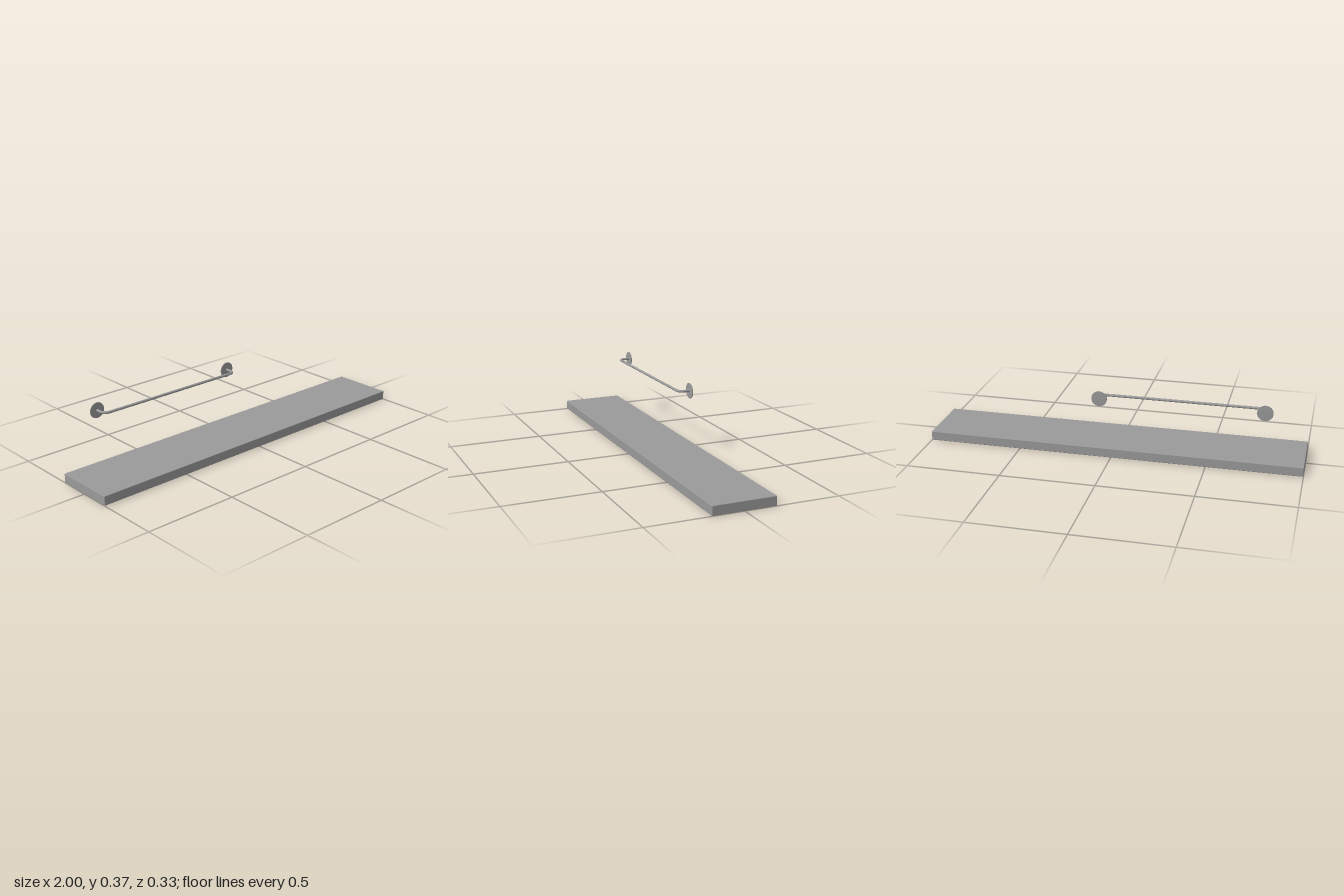
import * as THREE from 'three';
import { RoundedBoxGeometry } from 'three/addons/geometries/RoundedBoxGeometry.js';

export function createModel() {
  const group = new THREE.Group();
  const material = new THREE.MeshStandardMaterial({ color: 0x9a9a9a });
  const add = (parent, name, geometry, x = 0, y = 0, z = 0) => {
    const mesh = new THREE.Mesh(geometry, material);
    mesh.name = name;
    mesh.position.set(x, y, z);
    parent.add(mesh);
  };

  // Shelf board with finely eased edges
  add(group, 'shelfBoard', new RoundedBoxGeometry(2, 0.05, 0.332, 2, 0.003), 0, 0.025, 0);

  // Wall-mounted rail above the shelf
  const rail = new THREE.Group();
  rail.name = 'towelRail';
  rail.position.set(-0.365, 0.327, 0);
  group.add(rail);

  const half = 0.426, wallZ = -0.166, frontZ = -0.103, bend = 0.03;
  const v = (x, z) => new THREE.Vector3(x, 0, z);

  // Round wall plates with a small chamfer on both rims
  const plateProfile = [[0, 0], [0.04, 0], [0.041, 0.001], [0.041, 0.004], [0.04, 0.005], [0, 0.005]]
    .map(([r, h]) => new THREE.Vector2(r, h));
  for (const [name, side] of [['leftWallPlate', 1], ['rightWallPlate', -1]]) {
    const plate = new THREE.LatheGeometry(plateProfile, 40).rotateX(Math.PI / 2);
    add(rail, name, plate, side * half, 0, wallZ);
  }

  // Long straight run of the rail
  const run = new THREE.CylinderGeometry(0.007, 0.007, 2 * (half - bend), 16, 1, true);
  add(rail, 'railBar', run.rotateZ(Math.PI / 2), 0, 0, frontZ);

  // Legs that leave the wall plates and bend into the run
  const k = bend * 0.448;
  for (const [name, s] of [['leftBracket', 1], ['rightBracket', -1]]) {
    const path = new THREE.CurvePath();
    path.add(new THREE.LineCurve3(v(s * half, wallZ + 0.002), v(s * half, frontZ - bend)));
    path.add(new THREE.CubicBezierCurve3(
      v(s * half, frontZ - bend), v(s * half, frontZ - k),
      v(s * (half - k), frontZ), v(s * (half - bend), frontZ)));
    add(rail, name, new THREE.TubeGeometry(path, 28, 0.007, 16));
  }

  return group;
}
